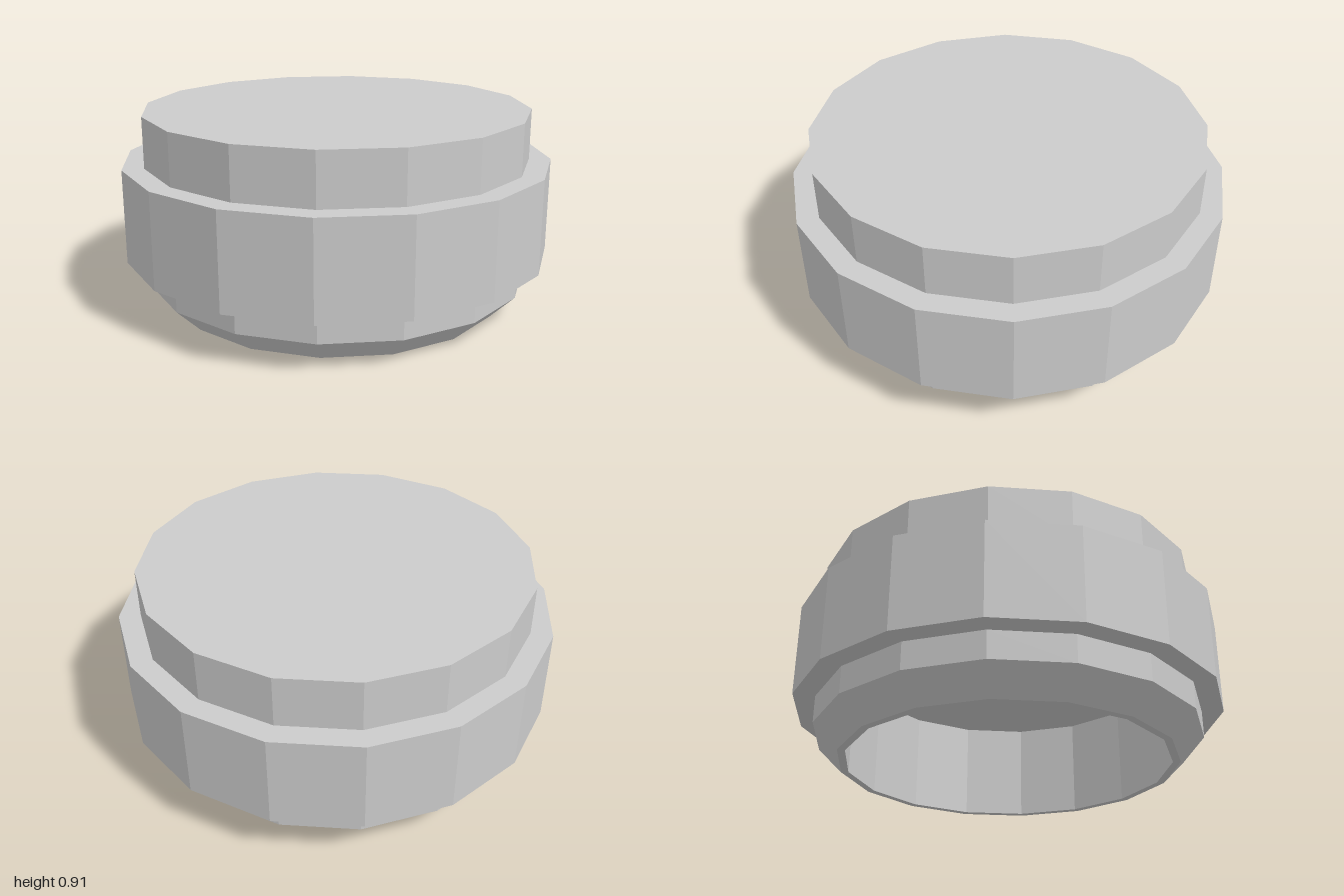
import * as THREE from 'three';

const SIDES = 16;

// Faceted ring or shell turned from [radius, height] points
function turned(name, profile, material) {
  const points = profile.map(([r, y]) => new THREE.Vector2(r, y));
  const mesh = new THREE.Mesh(new THREE.LatheGeometry(points, SIDES), material);
  mesh.name = name;
  return mesh;
}

export function createModel() {
  const group = new THREE.Group();
  group.name = 'cap';
  const material = new THREE.MeshStandardMaterial({ color: 0xcccccc, flatShading: true });

  const bodyR = 0.9, bandR = 1, rimR = 0.785, cavityR = 0.75;
  const chamferY = 0.115, bandY0 = 0.24, bandY1 = 0.675, topY = 0.91, ceilingY = 0.47;

  group.add(
    // Hollow underside: ceiling and straight inner wall
    turned('cavity', [[0, ceilingY], [cavityR, ceilingY], [cavityR, 0]], material),
    // Thin bottom rim, chamfer and short lower wall
    turned('base', [[cavityR, 0], [rimR, 0], [bodyR, chamferY], [bodyR, bandY0]], material),
    // Wider grip band with flat shoulders
    turned('band', [[bodyR, bandY0], [bandR, bandY0], [bandR, bandY1], [bodyR, bandY1]], material),
    // Upper wall and closed flat top
    turned('crown', [[bodyR, bandY1], [bodyR, topY], [0, topY]], material),
  );
  return group;
}
